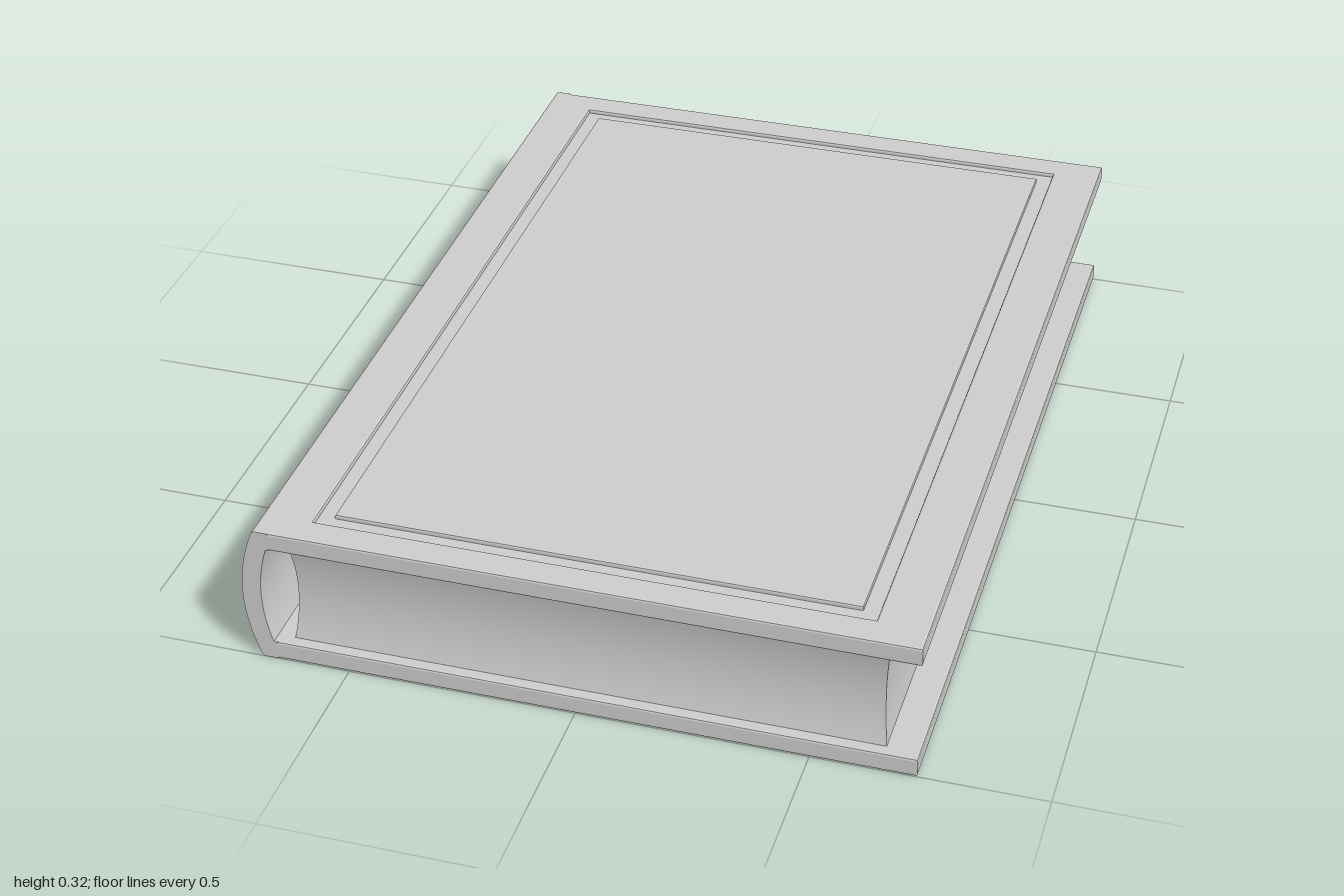
import * as THREE from 'three';

const HEIGHT = 0.325, BOARD = 0.043, GROOVE = 0.01;
const material = new THREE.MeshStandardMaterial({ color: 0xcccccc });

function mesh(name, geometry) {
  const m = new THREE.Mesh(geometry, material);
  m.name = name;
  return m;
}

// Closed rectangle outline, usable as a shape or as a hole
function rect(x0, x1, z, Type = THREE.Shape) {
  return new Type([[x0, -z], [x1, -z], [x1, z], [x0, z]].map(p => new THREE.Vector2(...p)));
}

// Flat slab lying between y0 and y1, with softened edges
function slab(shape, y0, y1, bevel) {
  const g = new THREE.ExtrudeGeometry(shape, {
    depth: y1 - y0 - 2 * bevel, bevelEnabled: true, bevelSegments: 2,
    bevelSize: bevel, bevelThickness: bevel, bevelOffset: -bevel,
  });
  return g.rotateX(-Math.PI / 2).translate(0, y0 + bevel, 0);
}

// Cover board centred on mid height, outer face up, with a grooved border
function coverBoard(name) {
  const top = HEIGHT / 2, inner = top - BOARD;
  const outline = rect(-0.69, 0.725, 1);
  outline.holes.push(rect(-0.585, 0.615, 0.932, THREE.Path));
  const board = new THREE.Group();
  board.name = name;
  board.add(
    mesh('boardFrame', slab(outline, inner, top, 0.005)),
    mesh('grooveFloor', slab(rect(-0.61, 0.64, 0.957), inner, top - GROOVE, 0.002)),
    mesh('coverPanel', slab(rect(-0.55, 0.58, 0.898), inner + 0.01, top, 0.004)),
  );
  board.position.y = HEIGHT / 2;
  return board;
}

// Curved spine joining the two boards
function spine() {
  const s = new THREE.Shape();
  s.moveTo(-0.66, HEIGHT);
  s.lineTo(-0.688, HEIGHT);
  s.quadraticCurveTo(-0.696, HEIGHT, -0.699, HEIGHT - 0.012);
  s.quadraticCurveTo(-0.757, HEIGHT / 2, -0.699, 0.012);
  s.quadraticCurveTo(-0.696, 0, -0.688, 0);
  s.lineTo(-0.66, 0);
  s.lineTo(-0.66, BOARD);
  s.lineTo(-0.667, BOARD);
  s.quadraticCurveTo(-0.705, HEIGHT / 2, -0.667, HEIGHT - BOARD);
  s.lineTo(-0.66, HEIGHT - BOARD);
  const g = new THREE.ExtrudeGeometry(s, { depth: 2, bevelEnabled: false, curveSegments: 16 });
  return mesh('spine', g.translate(0, 0, -1));
}

// Page block whose four sides are hollowed towards mid height
function pages() {
  const h = HEIGHT - 2 * BOARD + 0.004;
  const g = new THREE.BoxGeometry(1.284, h, 1.95, 1, 16, 1);
  const p = g.attributes.position;
  for (let i = 0; i < p.count; i++) {
    const t = p.getY(i) / (h / 2);
    const hollow = 1 - t * t;
    p.setX(i, p.getX(i) - Math.sign(p.getX(i)) * 0.009 * hollow);
    p.setZ(i, p.getZ(i) - Math.sign(p.getZ(i)) * 0.018 * hollow);
  }
  g.computeVertexNormals();
  return mesh('pages', g.translate(0.013, HEIGHT / 2, 0));
}

export function createModel() {
  const book = new THREE.Group();
  book.name = 'book';
  const back = coverBoard('backCover');
  back.rotation.x = Math.PI;
  book.add(coverBoard('frontCover'), back, spine(), pages());
  return book;
}
